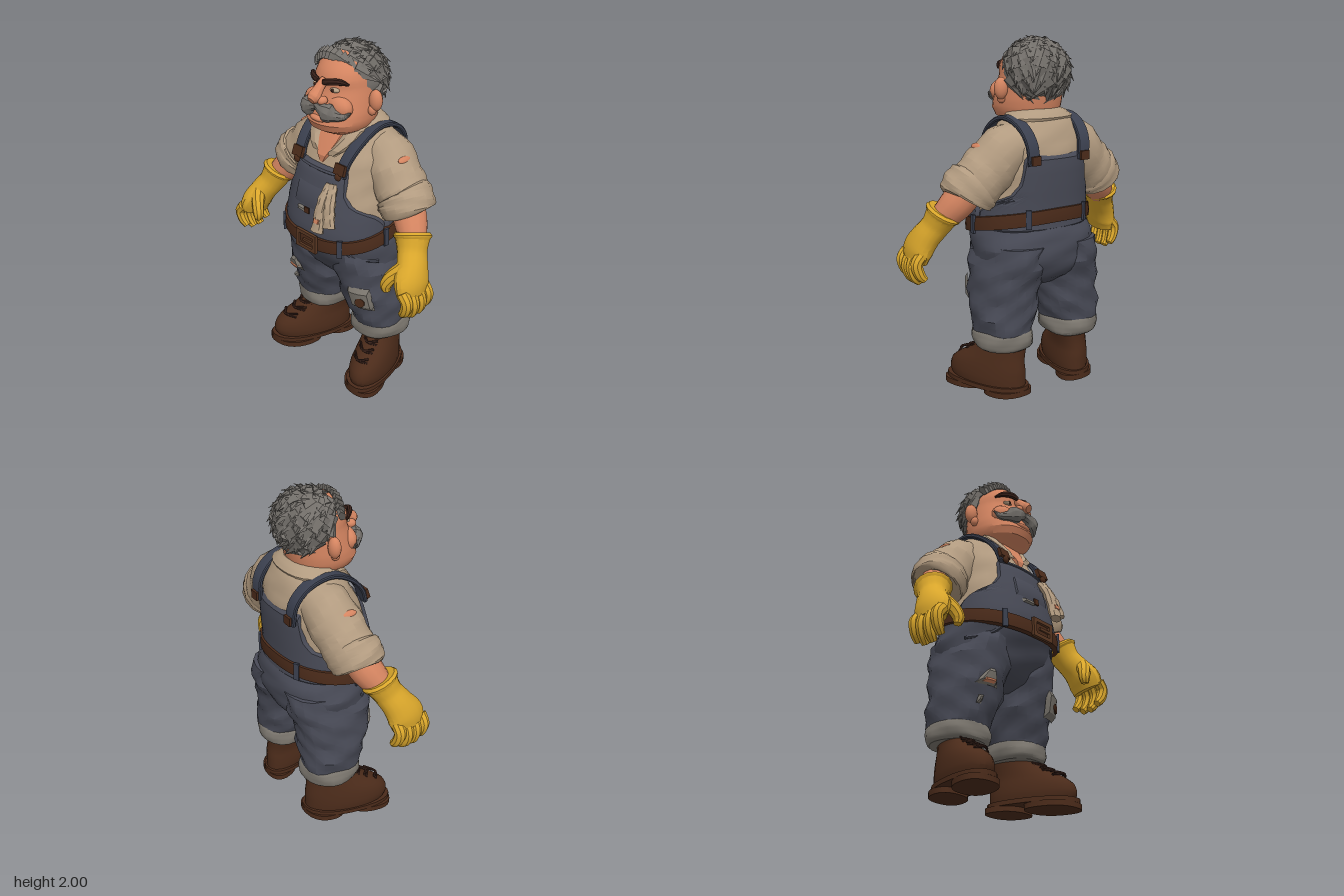
import * as THREE from 'three';
import { toCreasedNormals, mergeGeometries } from 'three/addons/utils/BufferGeometryUtils.js';

const V = (x, y, z) => new THREE.Vector3(x, y, z);
const { sin, cos, abs, PI } = Math;

// Grid surface: rows i run along the part, columns j run around it
function surf(ni, nj, f, crease = 0.5) {
  const pos = [], idx = [];
  for (let i = 0; i <= ni; i++) for (let j = 0; j <= nj; j++) pos.push(...f(i, j).toArray());
  for (let i = 0; i < ni; i++) for (let j = 0; j < nj; j++) {
    const a = i * (nj + 1) + j, d = a + nj + 1;
    idx.push(a, a + 1, d + 1, a, d + 1, d);
  }
  const g = new THREE.BufferGeometry();
  g.setAttribute('position', new THREE.Float32BufferAttribute(pos, 3));
  g.setIndex(idx);
  return toCreasedNormals(g, crease);
}

// Rounded-square unit section
function oval(a, n) {
  const c = cos(a), s = sin(a), r = (abs(c) ** n + abs(s) ** n) ** (-1 / n);
  return [c * r, s * r];
}

// Point on a body made of rows [y, centreX, halfWidth, frontZ, backZ]
function bodyPoint(rows, y, a, off = 0, n = 2.3, k = 1) {
  let i = 0;
  while (i < rows.length - 2 && y > rows[i + 1][0]) i++;
  const p = rows[i], q = rows[i + 1];
  const t = THREE.MathUtils.clamp((y - p[0]) / (q[0] - p[0]), 0, 1);
  const [, cx, rx, zf, zb] = p.map((v, m) => v + (q[m] - v) * t);
  const [c, s] = oval(a, n);
  return V(cx + s * (rx + off) * k, y, (zf + zb) / 2 + c * ((zf - zb) / 2 + off) * k);
}

// Closed upright body with optional cloth folds
function body(rows, { seg = 28, n = 2.3, fold = 0, steps = rows.length * 2 } = {}) {
  const y0 = rows[0][0], y1 = rows[rows.length - 1][0];
  return surf(steps + 2, seg, (i, j) => {
    const t = THREE.MathUtils.clamp((i - 1) / steps, 0, 1), a = (j % seg) / seg * PI * 2;
    const y = y0 + (y1 - y0) * t;
    const off = fold * (sin(3 * a + y * 31) + 0.7 * sin(5 * a - y * 47));
    return bodyPoint(rows, y, a, off, n, i === 0 || i === steps + 2 ? 0 : 1);
  });
}

// Raised panel lying on a body between two angles, its rim dropped towards the body
function panel(rows, y0, y1, lo, hi, off, ni = 10, nj = 16) {
  return surf(ni, nj, (i, j) => {
    const t = i / ni, y = y0 + (y1 - y0) * t, a = lo(y, t) + (hi(y, t) - lo(y, t)) * j / nj;
    const rim = i === 0 || i === ni || j === 0 || j === nj;
    return bodyPoint(rows, y, a, rim ? off - 0.02 : off);
  });
}

// Limb along points [x, y, z, radius along ref, other radius]
function limb(pts, { ref = [0, 0, 1], seg = 12, n = 2, fold = 0 } = {}) {
  const steps = pts.length * 3;
  const path = new THREE.CatmullRomCurve3(pts.map(p => V(p[0], p[1], p[2])));
  const size = new THREE.CatmullRomCurve3(pts.map(p => V(p[3], p[4] ?? p[3], 0)));
  return surf(steps + 2, seg, (i, j) => {
    const t = THREE.MathUtils.clamp((i - 1) / steps, 0, 1), a = (j % seg) / seg * PI * 2;
    const T = path.getTangent(t), S = V(...ref);
    S.addScaledVector(T, -S.dot(T)).normalize();
    const N = T.clone().cross(S), r = size.getPoint(t), [c, s] = oval(a, n);
    const k = i === 0 || i === steps + 2 ? 0 : 1 + fold * sin(2 * a + t * 22);
    return path.getPoint(t).addScaledVector(S, c * r.x * k).addScaledVector(N, s * r.y * k);
  });
}

const ball = (x, y, z, rx, ry, rz) => new THREE.SphereGeometry(1, 16, 12).scale(rx, ry, rz).translate(x, y, z);
const box = (x, y, z, w, h, d) => new THREE.BoxGeometry(w, h, d).translate(x, y, z);

export function createModel() {
  const model = new THREE.Group();
  const mat = {};
  const colours = { shirt: 0xb29b80, skin: 0xd58561, glove: 0xd9a62b, denim: 0x484a56, darkDenim: 0x3b404f,
    leather: 0x4b2b1a, hair: 0x74706b, greyCloth: 0x7b766e, darkBrown: 0x38211a, buckle: 0x5a3823 };
  for (const [name, c] of Object.entries(colours)) mat[name] = Object.assign(new THREE.MeshStandardMaterial({ color: c }), { name });
  const add = (name, geo, m, parent = model) => {
    const mesh = new THREE.Mesh(geo, mat[m]);
    mesh.name = name;
    parent.add(mesh);
  };

  // Shirt and overalls
  const torso = [[0.93, 0, 0.332, 0.255, -0.3], [1.0, 0, 0.325, 0.255, -0.292],
    [1.1, 0, 0.318, 0.235, -0.295], [1.2, 0, 0.306, 0.21, -0.302], [1.3, 0, 0.3, 0.18, -0.307],
    [1.4, 0, 0.29, 0.135, -0.303], [1.48, 0, 0.262, 0.09, -0.285], [1.55, 0, 0.212, 0.045, -0.25], [1.585, 0, 0.16, 0.02, -0.22], [1.61, 0, 0.13, 0.01, -0.2]];
  add('shirtBody', body(torso, { fold: 0.003, steps: 22 }), 'shirt');
  const bibKeys = [[0.94, 1.6], [1.05, 1.6], [1.1, 1.35], [1.16, 0.85], [1.22, 0.7], [1.4, 0.62]];
  const half = y => {
    const i = Math.max(1, bibKeys.findIndex(k => k[0] >= y)), [p, q] = [bibKeys[i - 1], bibKeys[i]];
    return p[1] + (q[1] - p[1]) * (y - p[0]) / (q[0] - p[0]);
  };
  add('frontBib', panel(torso, 0.94, 1.35, y => -half(y), half, 0.016, 16, 24), 'denim');
  add('backBib', panel(torso, 0.94, 1.38, y => PI - half(y) - 0.05, y => PI + half(y) + 0.05, 0.016, 16, 24), 'denim');
  add('bibHem', panel(torso, 1.315, 1.355, () => -0.6, () => 0.6, 0.024, 3, 12), 'denim');
  add('bibPocket', panel(torso, 1.08, 1.27, () => -0.46, () => 0.46, 0.022, 4, 10), 'denim');
  add('bibPatch', panel(torso, 1.07, 1.11, () => -0.32, () => 0.04, 0.028, 3, 4), 'greyCloth');
  add('bibBadge', box(0, 1.1, 0.265, 0.035, 0.035, 0.008), 'leather');

  // Open neck and collar
  add('openNeck', panel(torso, 1.36, 1.6, (y, t) => -0.04 - 0.55 * t, (y, t) => 0.04 + 0.55 * t, 0.018, 6, 8), 'skin');
  for (const s of [1, -1]) {
    const inner = (y, t) => 0.06 + 0.45 * t, outer = (y, t) => 0.3 + 0.75 * t;
    add('collarFlap', s > 0 ? panel(torso, 1.41, 1.59, inner, outer, 0.03, 5, 4)
      : panel(torso, 1.41, 1.59, (y, t) => -outer(y, t), (y, t) => -inner(y, t), 0.03, 5, 4), 'shirt');
  }
  add('backCollar', panel(torso, 1.55, 1.61, () => 1, () => 2 * PI - 1, 0.018, 4, 16), 'shirt');

  // Belt, sloping down to the front
  const beltEdge = [[0, -0.042], [0.028, -0.038], [0.032, 0], [0.028, 0.038], [0, 0.042]];
  add('belt', surf(4, 48, (i, j) => {
    const a = (j % 48) / 48 * PI * 2;
    return bodyPoint(torso, 0.98 - 0.06 * cos(a) + beltEdge[i][1], a, beltEdge[i][0]);
  }), 'leather');
  const frame = new THREE.Shape([[-0.08, -0.055], [0.08, -0.055], [0.08, 0.055], [-0.08, 0.055]].map(p => new THREE.Vector2(...p)));
  frame.holes.push(new THREE.Path([[-0.055, -0.034], [-0.055, 0.034], [0.055, 0.034], [0.055, -0.034]].map(p => new THREE.Vector2(...p))));
  add('beltBuckle', new THREE.ExtrudeGeometry(frame, { depth: 0.018, bevelEnabled: false }).translate(0.02, 0.925, 0.279), 'buckle');
  add('bucklePin', box(0.035, 0.925, 0.291, 0.08, 0.015, 0.012), 'buckle');
  for (const a of [0.65, -0.65, 1.5, -1.5, 2.6, -2.6]) {
    const p = bodyPoint(torso, 0.98 - 0.06 * cos(a), a, 0.032);
    add('beltLoop', new THREE.BoxGeometry(0.03, 0.105, 0.014).rotateY(a).translate(p.x, p.y, p.z), 'darkDenim');
  }

  // Rag hanging from the bib pocket
  add('rag', mergeGeometries([
    limb([[0.125, 1.285, 0.2, 0.03, 0.02], [0.125, 1.2, 0.255, 0.036, 0.028], [0.125, 1.03, 0.305, 0.042, 0.026]], { ref: [1, 0, 0], seg: 8, fold: 0.1 }),
    limb([[0.14, 1.29, 0.2, 0.034, 0.02], [0.165, 1.18, 0.25, 0.04, 0.03], [0.195, 1.07, 0.28, 0.042, 0.024]], { ref: [1, 0, 0], seg: 8, fold: 0.1 })]), 'shirt');
  add('ragStain', new THREE.BoxGeometry(0.035, 0.025, 0.008).rotateX(-0.28).translate(0.128, 1.1, 0.312), 'skin');

  // Seat of the trousers
  add('trouserSeat', body([[0.62, 0, 0.1, 0.03, -0.2], [0.68, 0, 0.27, 0.13, -0.29], [0.76, 0, 0.35, 0.18, -0.325],
    [0.85, 0, 0.365, 0.215, -0.338], [0.92, 0, 0.352, 0.25, -0.33], [0.98, 0, 0.335, 0.25, -0.3]], { fold: 0.004, steps: 14 }), 'denim');
  const leg = [[0.3, 0.235, 0.14, 0.05, -0.26], [0.38, 0.235, 0.155, 0.075, -0.27], [0.46, 0.225, 0.175, 0.1, -0.28],
    [0.55, 0.21, 0.185, 0.13, -0.278], [0.65, 0.2, 0.185, 0.155, -0.293], [0.75, 0.19, 0.18, 0.18, -0.325], [0.87, 0.17, 0.16, 0.19, -0.335]];

  // Left limbs, then mirrored
  const side = new THREE.Group();
  side.name = 'leftSide';
  add('trouserLeg', body(leg, { fold: 0.007, seg: 22, steps: 14 }), 'denim', side);
  add('trouserCuff', body([[0.275, 0.235, 0.14, 0.05, -0.255], [0.29, 0.235, 0.158, 0.07, -0.273], [0.33, 0.235, 0.165, 0.075, -0.278],
    [0.37, 0.235, 0.158, 0.07, -0.273], [0.39, 0.235, 0.14, 0.055, -0.26]], { fold: 0.004, seg: 22 }), 'greyCloth', side);
  add('hipPocket', limb([[0.21, 0.9, 0.195, 0.01], [0.265, 0.85, 0.142, 0.01], [0.345, 0.83, 0.042, 0.01]], { seg: 6 }), 'denim', side);

  const splay = g => {
    const p = g.attributes.position;
    for (let i = 0; i < p.count; i++) p.setX(i, p.getX(i) + 0.27 * (p.getZ(i) + 0.1));
    return toCreasedNormals(g, 0.55);
  };
  add('boot', splay(body([[0.04, 0.255, 0.118, 0.215, -0.25], [0.09, 0.255, 0.125, 0.235, -0.25], [0.14, 0.255, 0.12, 0.22, -0.25],
    [0.18, 0.255, 0.112, 0.175, -0.245], [0.22, 0.25, 0.105, 0.1, -0.24], [0.27, 0.242, 0.1, 0.035, -0.24], [0.33, 0.24, 0.105, 0.02, -0.245]], { steps: 14, n: 2.1 })), 'leather', side);
  const sole = (y0, y1, zf, zb, w) => splay(body([[y0, 0.255, w, zf, zb], [y1, 0.255, w, zf, zb]], { steps: 1, n: 2.4 }));
  add('bootWelt', sole(0.03, 0.056, 0.242, -0.26, 0.13), 'leather', side);
  add('bootSole', sole(0, 0.032, 0.24, -0.03, 0.128), 'leather', side);
  add('bootHeel', sole(0, 0.032, -0.05, -0.26, 0.118), 'leather', side);
  for (const [y, z] of [[0.185, 0.175], [0.215, 0.115], [0.245, 0.067], [0.28, 0.04]]) for (const s of [1, -1])
    add('bootLace', splay(limb([[0.25 - s * 0.055, y, z - 0.03, 0.007], [0.25, y + 0.012, z, 0.007], [0.25 + s * 0.055, y + 0.022, z - 0.04, 0.007]], { seg: 6 })), 'darkBrown', side);

  // Arm with rolled sleeve
  add('sleeve', limb([[0.14, 1.45, -0.12, 0.12, 0.11], [0.24, 1.385, -0.12, 0.145, 0.145], [0.34, 1.28, -0.1, 0.148, 0.15],
    [0.41, 1.21, -0.09, 0.14, 0.15], [0.435, 1.18, -0.08, 0.12, 0.13]], { seg: 16, fold: 0.035 }), 'shirt', side);
  add('sleeveStain', ball(0, 0, 0, 0.02, 0.012, 0.045).rotateZ(-0.76).translate(0.39, 1.427, -0.09), 'skin', side);
  add('rolledCuff', limb([[0.39, 1.235, -0.085, 0.125, 0.13], [0.4, 1.225, -0.085, 0.15, 0.16], [0.43, 1.185, -0.075, 0.154, 0.164],
    [0.45, 1.15, -0.065, 0.144, 0.152], [0.455, 1.14, -0.065, 0.11, 0.115]], { seg: 16, fold: 0.025 }), 'shirt', side);
  add('forearm', limb([[0.43, 1.2, -0.075, 0.095], [0.49, 1.12, -0.045, 0.093], [0.57, 1.02, 0.01, 0.07]], { seg: 14 }), 'skin', side);
  add('gloveHand', limb([[0.545, 1.08, -0.005, 0.098, 0.09], [0.555, 1.055, 0.005, 0.098, 0.09], [0.583, 0.99, 0.035, 0.084, 0.077],
    [0.62, 0.93, 0.07, 0.092, 0.075], [0.65, 0.86, 0.105, 0.112, 0.07], [0.665, 0.8, 0.115, 0.1, 0.055]], { seg: 16 }), 'glove', side);
  for (let k = 0; k < 4; k++) {
    const z = 0.035 + 0.053 * k, d = k === 0 || k === 3 ? 0.025 : 0;
    add('gloveFinger', limb([[0.668, 0.84, z, 0.035], [0.702, 0.77 + d, z, 0.034], [0.688, 0.71 + d, z - 0.005, 0.031], [0.66, 0.675 + d, z - 0.012, 0.022]], { seg: 9 }), 'glove', side);
  }
  add('gloveThumb', limb([[0.61, 0.94, 0.12, 0.045], [0.56, 0.88, 0.17, 0.038], [0.54, 0.83, 0.185, 0.034], [0.545, 0.795, 0.185, 0.022]], { seg: 9 }), 'glove', side);

  // Shoulder strap with buckle and back button
  add('strap', limb([[0.165, 1.33, 0.165, 0.038, 0.014], [0.175, 1.41, 0.135, 0.038, 0.014], [0.19, 1.5, 0.055, 0.038, 0.014], [0.193, 1.565, -0.08, 0.038, 0.014],
    [0.186, 1.535, -0.215, 0.038, 0.014], [0.176, 1.45, -0.292, 0.038, 0.014], [0.165, 1.33, -0.308, 0.038, 0.014]], { ref: [1, 0, 0], n: 5, seg: 16 }), 'darkDenim', side);
  add('strapBuckle', new THREE.BoxGeometry(0.075, 0.06, 0.022).rotateX(-0.35).translate(0.168, 1.375, 0.17), 'leather', side);
  add('strapStud', ball(0.165, 1.335, 0.185, 0.022, 0.022, 0.014), 'leather', side);
  add('backButton', new THREE.BoxGeometry(0.055, 0.05, 0.02).translate(0.165, 1.355, -0.322), 'leather', side);

  // Face features on one side
  add('ear', ball(0.205, 1.72, -0.055, 0.04, 0.06, 0.034), 'skin', side);
  add('earLobe', ball(0.193, 1.667, -0.04, 0.024, 0.03, 0.024), 'skin', side);
  add('cheek', ball(0.08, 1.69, 0.095, 0.09, 0.068, 0.058), 'skin', side);
  add('nostril', ball(0.036, 1.733, 0.172, 0.026, 0.024, 0.03), 'skin', side);
  add('eye', ball(0.068, 1.785, 0.112, 0.03, 0.014, 0.02), 'shirt', side);
  add('iris', ball(0.066, 1.786, 0.128, 0.011, 0.011, 0.007), 'darkBrown', side);
  add('eyebrow', limb([[0.018, 1.825, 0.15, 0.015, 0.011], [0.06, 1.835, 0.142, 0.02, 0.015], [0.105, 1.835, 0.108, 0.018, 0.014], [0.135, 1.818, 0.073, 0.006]], { ref: [0, 1, 0], seg: 8 }), 'darkBrown', side);
  add('moustache', limb([[0, 1.703, 0.175, 0.026, 0.025], [0.045, 1.69, 0.182, 0.034, 0.03], [0.1, 1.665, 0.158, 0.034, 0.03], [0.145, 1.66, 0.122, 0.02], [0.18, 1.685, 0.105, 0.004]], { ref: [0, 1, 0], seg: 9 }), 'hair', side);
  const right = side.clone();
  right.name = 'rightSide';
  right.scale.x = -1;
  model.add(side, right);

  // Knee patches, one on each leg
  add('kneePatch', panel(leg, 0.51, 0.665, () => 0.05, () => 0.78, 0.024, 5, 7), 'greyCloth');
  add('kneeSpot', new THREE.CylinderGeometry(0.03, 0.03, 0.008, 10).rotateX(PI / 2).rotateY(0.45).translate(0.302, 0.575, 0.146), 'leather');
  const rightLeg = leg.map(([y, cx, ...r]) => [y, -cx, ...r]);
  add('kneeTear', panel(rightLeg, 0.56, 0.655, (y, t) => -0.65 + 0.35 * t, (y, t) => 0.15 - 0.3 * t, 0.022, 4, 6), 'greyCloth');
  add('kneeSkin', panel(rightLeg, 0.57, 0.6, () => -0.45, () => 0, 0.029, 3, 5), 'skin');
  add('shinTear', panel(rightLeg, 0.46, 0.505, () => -0.42, () => -0.25, 0.022, 3, 3), 'greyCloth');

  // Head
  add('head', body([[1.48, 0, 0.11, 0.04, -0.19], [1.53, 0, 0.125, 0.11, -0.18], [1.55, 0, 0.16, 0.17, -0.185], [1.6, 0, 0.182, 0.192, -0.2], [1.65, 0, 0.186, 0.175, -0.21],
    [1.72, 0, 0.178, 0.15, -0.22], [1.79, 0, 0.168, 0.125, -0.22], [1.83, 0, 0.165, 0.132, -0.22], [1.88, 0, 0.15, 0.108, -0.21], [1.93, 0, 0.112, 0.06, -0.18], [1.96, 0, 0.06, 0, -0.14]], { steps: 24, n: 2.15 }), 'skin');
  add('nose', limb([[0, 1.83, 0.12, 0.022], [0, 1.785, 0.168, 0.03, 0.028], [0, 1.75, 0.2, 0.038, 0.036], [0, 1.735, 0.222, 0.022, 0.024]], { ref: [1, 0, 0] }), 'skin');
  add('lowerLip', ball(0, 1.625, 0.172, 0.06, 0.018, 0.026), 'skin');

  // Hair: cap covered with ragged swept locks
  add('hairCap', ball(0, 1.8, -0.095, 0.182, 0.172, 0.172), 'hair');
  const locks = [], total = 130;
  const lock = (at, flow, out, r, len) => {
    const across = flow.clone().cross(out);
    const g = new THREE.ConeGeometry(r, len, 5).scale(1, 1, 0.5);
    g.applyMatrix4(new THREE.Matrix4().makeBasis(across, flow, out));
    locks.push(toCreasedNormals(g.translate(at.x, at.y, at.z), 0.4));
  };
  for (let i = 0; i < total; i++) {
    const y = 1 - 2 * (i + 0.5) / total, r = Math.sqrt(1 - y * y), a = i * 2.39996;
    const d = V(r * sin(a), y, r * cos(a)), wob = sin(i * 12.9);
    if (y < -0.8 || (d.z > 0.4 && y < 0.5) || (d.z > 0.15 && y < 0.1) || (y < 0 && d.z > -0.15)) continue;
    const flow = V(0.3 + 0.4 * wob, d.z > 0.2 ? -0.15 : -0.8, d.z > 0.2 ? -0.2 : -0.5);
    flow.addScaledVector(d, -flow.dot(d)).normalize().addScaledVector(d, 0.22).normalize();
    const out = d.clone().addScaledVector(flow, -d.dot(flow)).normalize();
    lock(V(d.x * 0.187, 1.8 + d.y * 0.174, -0.095 + d.z * 0.17), flow, out, 0.047, 0.14 + 0.03 * wob);
  }
  // Fringe swept across the forehead
  for (let i = 0; i < 10; i++) {
    const u = i / 9, x = -0.13 + 0.24 * u, drop = 3.2 * (x + 0.01) ** 2;
    const flow = V(0.8, 0.4 - 0.9 * u, 0.12 - 0.3 * u).normalize(), out = V(0, 0.6, 0.8);
    out.addScaledVector(flow, -out.dot(flow)).normalize();
    lock(V(x, 1.94 - drop, 0.045 - drop * 0.6), flow, out, 0.042, 0.11);
  }
  add('hairLocks', mergeGeometries(locks), 'hair');
  return model;
}
